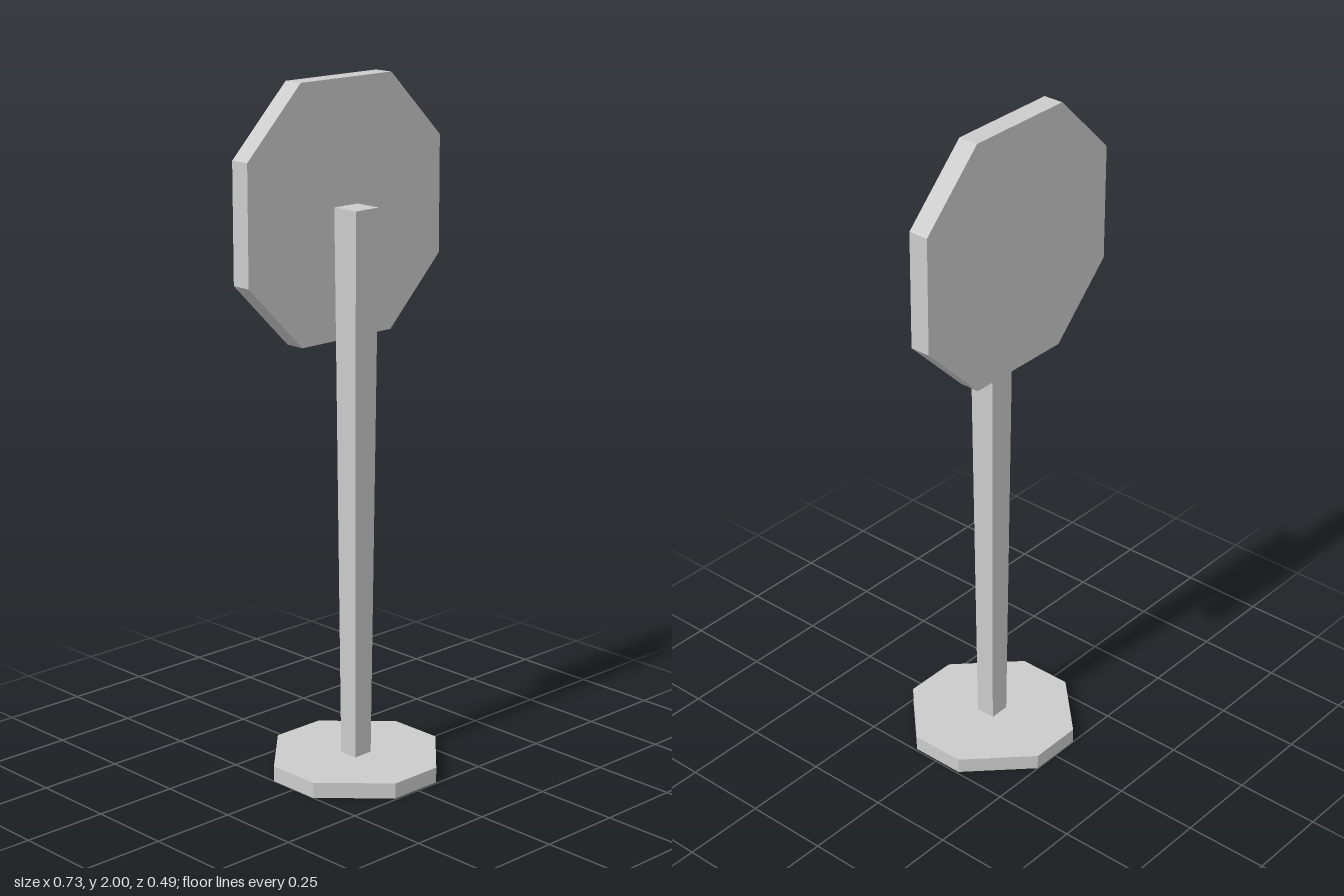
import * as THREE from 'three';

const material = new THREE.MeshStandardMaterial({ color: 0xcccccc, flatShading: true });

// Octagonal plate: half-size r, half-length of the straight sides f, thickness d along +z
function octagonPlate(name, r, f, d) {
  const corners = [[f, -r], [r, -f], [r, f], [f, r], [-f, r], [-r, f], [-r, -f], [-f, -r]];
  const shape = new THREE.Shape(corners.map(([x, y]) => new THREE.Vector2(x, y)));
  const geometry = new THREE.ExtrudeGeometry(shape, { depth: d, bevelEnabled: false });
  const mesh = new THREE.Mesh(geometry, material);
  mesh.name = name;
  return mesh;
}

// Square post that widens towards the top, with slightly off-centre ends
function taperedPost(bottom, top) {
  const geometry = new THREE.BoxGeometry(1, 1, 1);
  const p = geometry.attributes.position;
  for (let i = 0; i < p.count; i++) {
    const end = p.getY(i) > 0 ? top : bottom;
    p.setXYZ(i, p.getX(i) > 0 ? end.x[1] : end.x[0], end.y, p.getZ(i) > 0 ? end.z[1] : end.z[0]);
  }
  geometry.computeVertexNormals();
  const mesh = new THREE.Mesh(geometry, material);
  mesh.name = 'post';
  return mesh;
}

export function createModel() {
  const group = new THREE.Group();
  group.name = 'signpost';

  // Base lying on the ground
  const base = octagonPlate('base', 0.247, 0.082, 0.046);
  base.rotation.x = -Math.PI / 2;
  base.position.set(-0.003, 0, -0.002);
  group.add(base);

  // Post standing on the base, its top against the sign
  group.add(taperedPost(
    { y: 0.045, x: [-0.037, 0.025], z: [-0.028, 0.031] },
    { y: 1.648, x: [-0.048, 0.04], z: [-0.04, 0.045] },
  ));

  // Upright sign board behind the post
  const board = octagonPlate('signBoard', 0.364, 0.17, 0.06);
  board.position.set(0, 1.636, -0.1);
  group.add(board);

  return group;
}
